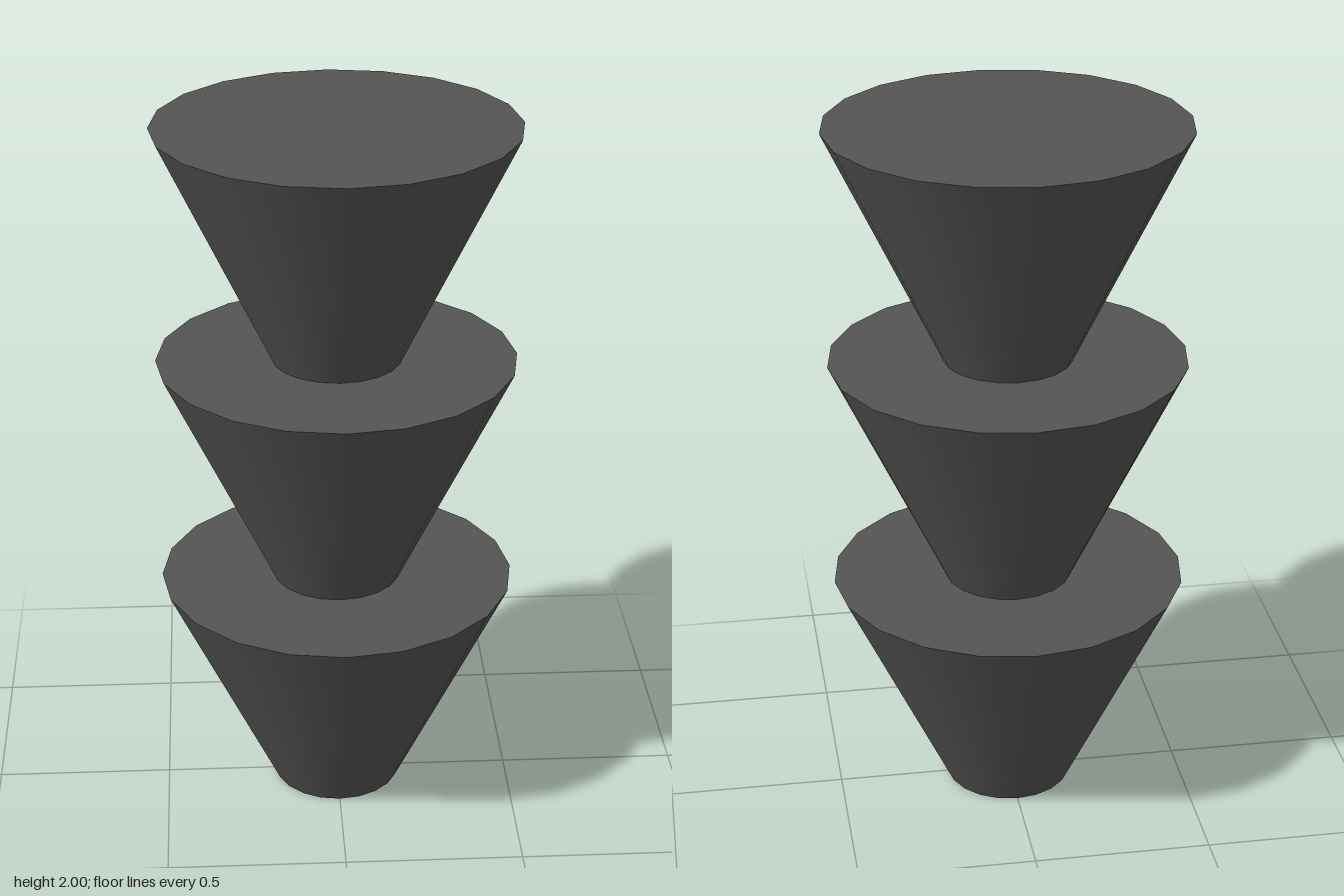
import * as THREE from 'three';

export function createModel() {
  const model = new THREE.Group();
  model.name = 'stackedCones';
  const material = new THREE.MeshStandardMaterial({ color: 0x555555 });

  // Three identical upward-flaring truncated cones, stacked end to end
  const count = 3;
  const height = 2 / count;
  const geometry = new THREE.CylinderGeometry(0.5, 0.18, height, 20);
  const names = ['lowerCone', 'middleCone', 'upperCone'];
  names.forEach((name, i) => {
    const cone = new THREE.Mesh(geometry, material);
    cone.name = name;
    cone.position.y = height * (i + 0.5);
    model.add(cone);
  });
  return model;
}
